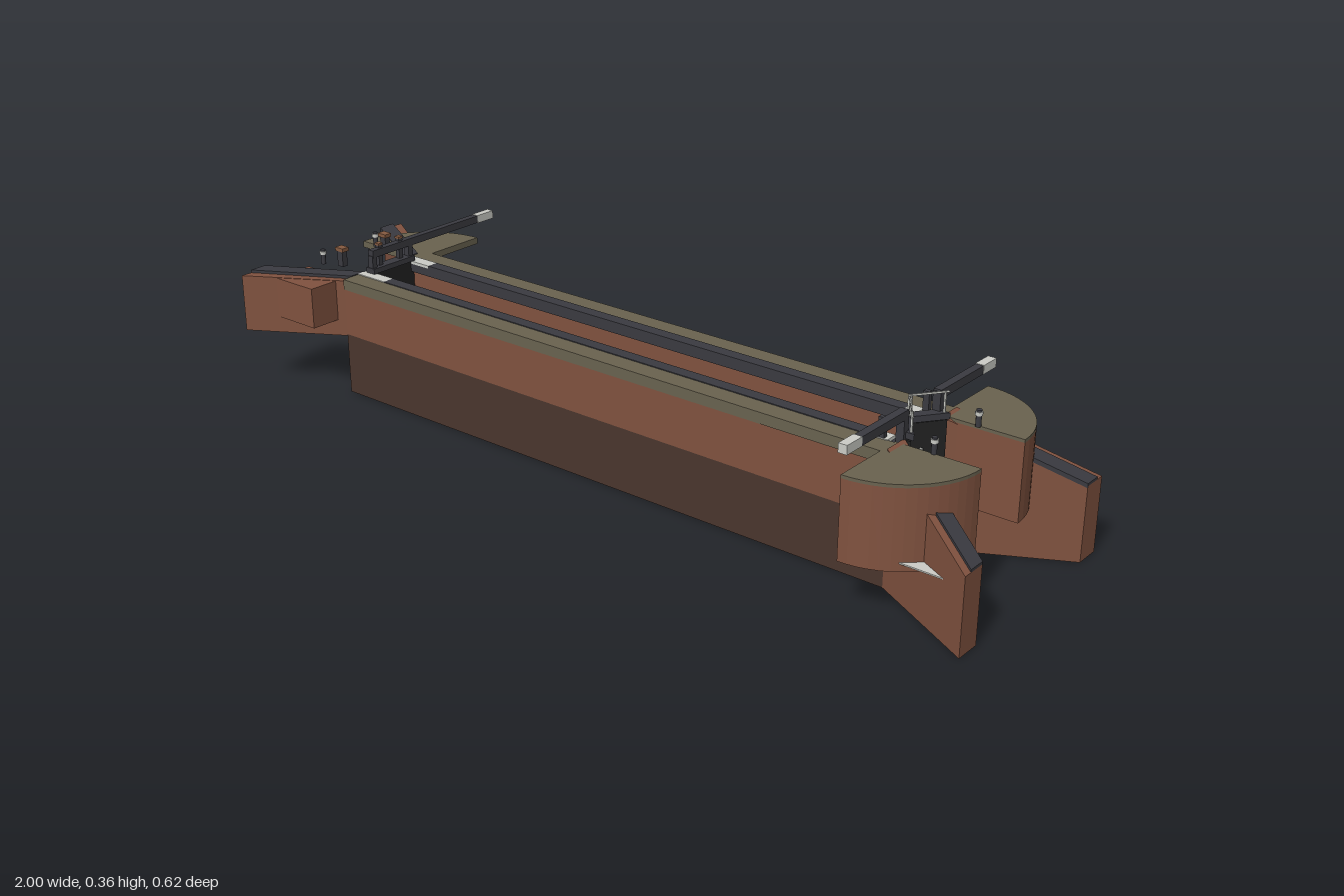
import * as THREE from 'three';

const C = 0.037; // z of the channel centre line

export function createModel() {
  const root = new THREE.Group();
  const mat = (name, color) => {
    const m = new THREE.MeshStandardMaterial({ color });
    m.name = name;
    return m;
  };
  const brick = mat('brick', 0x80523f);
  const wetBrick = mat('wet brick', 0x4a352d);
  const stone = mat('coping stone', 0x69624f);
  const iron = mat('dark edging', 0x3a3a40);
  const black = mat('gate black', 0x222222);
  const white = mat('pale paint', 0xcbccc6);
  const wood = mat('wood', 0x855a40);

  const add = (name, geometry, material) => {
    const mesh = new THREE.Mesh(geometry, material);
    mesh.name = name;
    root.add(mesh);
    return mesh;
  };

  // box given by its limits
  const box = (name, m, x0, x1, y0, y1, z0, z1) => {
    const mesh = add(name, new THREE.BoxGeometry(x1 - x0, y1 - y0, Math.abs(z1 - z0)), m);
    mesh.position.set((x0 + x1) / 2, (y0 + y1) / 2, (z0 + z1) / 2);
    return mesh;
  };

  // plan outline of [x, z] points raised from y0 to y1 (numbers or functions of x)
  const prism = (name, m, plan, y0, y1) => {
    const shape = new THREE.Shape(plan.map(([x, z]) => new THREE.Vector2(x, -z)));
    const g = new THREE.ExtrudeGeometry(shape, { depth: 1, bevelEnabled: false });
    g.rotateX(-Math.PI / 2);
    const p = g.attributes.position;
    const at = (f, x) => (typeof f === 'function' ? f(x) : f);
    for (let i = 0; i < p.count; i++) {
      p.setY(i, at(p.getY(i) > 0.5 ? y1 : y0, p.getX(i)));
    }
    g.computeVertexNormals();
    return add(name, g, m);
  };

  // quarter disc with its corner at x, z
  const quarter = (x, z, r, sx, sz) => {
    const pts = [[x, z]];
    for (let i = 0; i <= 14; i++) {
      const a = (i / 14) * Math.PI / 2;
      pts.push([x + sx * r * Math.cos(a), z + sz * r * Math.sin(a)]);
    }
    return pts;
  };

  const bollard = (x, z) => {
    const parts = [[0.006, 0.025, 0.302, iron], [0.008, 0.008, 0.318, white], [0.006, 0.004, 0.324, iron]];
    for (const [r, h, y, m] of parts) {
      add('bollard', new THREE.CylinderGeometry(r, r, h, 10), m).position.set(x, y, z);
    }
  };

  const slope = (x) => 0.17 + (1 - x) * 0.48;

  for (const s of [1, -1]) {
    const z = (d) => C + s * d;

    // chamber wall with coping
    box('lowerChamberWall', wetBrick, -0.78, 0.75, 0, 0.15, z(0.067), z(0.133));
    box('upperChamberWall', brick, -0.78, 0.75, 0.15, 0.265, z(0.067), z(0.133));
    box('wallCoping', stone, -0.78, 0.74, 0.265, 0.29, z(0.085), z(0.135));
    box('wallEdging', iron, -0.69, 0.66, 0.265, 0.292, z(0.058), z(0.088));
    box('wallEdgeEnd', white, -0.78, -0.69, 0.285, 0.292, z(0.058), z(0.088));
    box('wallEdgeEnd', white, 0.66, 0.715, 0.285, 0.292, z(0.058), z(0.088));
    box('wallEdgeBase', iron, -0.78, -0.69, 0.265, 0.285, z(0.058), z(0.088));
    box('wallEdgeBase', iron, 0.66, 0.74, 0.265, 0.285, z(0.058), z(0.088));

    // lower wing wall, sloping down and outwards
    prism('lowerWingWall', brick,
      [[0.74, z(0.067)], [1, z(0.206)], [1, z(0.267)], [0.74, z(0.128)]], 0, slope);
    prism('lowerWingCoping', iron,
      [[0.78, z(0.088)], [1, z(0.206)], [1, z(0.247)], [0.78, z(0.13)]],
      (x) => slope(x) - 0.004, (x) => slope(x) + 0.006);

    // upper wing wall, level
    prism('upperWingWall', brick,
      [[-0.78, z(0.067)], [-1, z(0.2)], [-1, z(0.262)], [-0.78, z(0.13)]], 0.145, 0.285);
    prism('upperWingCoping', iron,
      [[-0.78, z(0.067)], [-1, z(0.19)], [-1, z(0.234)], [-0.78, z(0.11)]], 0.275, 0.292);

    // rounded platform under the lower balance beam
    const plan = quarter(0.73, z(0.083), 0.188, 1, s);
    prism('beamPlatform', brick, plan, 0.11, 0.284);
    prism('beamPlatformTop', stone, plan, 0.284, 0.291);

    // mitre gate leaf and walkway
    const leaf = (x0, x1) => [[0.685 + x0, C], [0.735 + x0, z(0.067)], [0.735 + x1, z(0.067)], [0.685 + x1, C]];
    prism('lowerGateLeaf', black, leaf(0, 0.02), 0.012, 0.292);
    prism('lowerGateWalkway', iron, leaf(-0.003, 0.026), 0.295, 0.309);

    // handrail on the leaf
    prism('handrail', white, leaf(0.018, 0.021), 0.351, 0.355);
    for (const d of [0.004, 0.061]) {
      const x = 0.705 + d * 0.75;
      box('handrailPost', white, x - 0.002, x + 0.002, 0.295, 0.353, z(d - 0.002), z(d + 0.002));
    }

    // balance beam with a pale tip
    box('lowerBalanceBeam', iron, 0.724, 0.742, 0.335, 0.354, z(0.06), z(0.223));
    box('lowerBeamTip', white, 0.723, 0.743, 0.335, 0.355, z(0.223), z(0.274));
    box('lowerHeelPost', iron, 0.724, 0.742, 0.285, 0.35, z(0.058), z(0.074));
    box('paddleGear', iron, 0.692, 0.706, 0.292, 0.335, z(0.076), z(0.087));
    bollard(0.815, z(0.083));
    bollard(-0.905, z(0.086));

    // upper side post with a wooden cap
    box('sidePost', iron, -0.862, -0.844, 0.292, 0.33, z(0.063), z(0.078));
    box('sidePostCap', wood, -0.866, -0.84, 0.33, 0.339, z(0.06), z(0.08));

    // winding post on the upper gate
    box('windingPost', iron, -0.768, -0.756, 0.29, 0.355, z(0.027), z(0.039));
    box('windingPostCap', wood, -0.769, -0.755, 0.355, 0.36, z(0.026), z(0.04));
  }

  // upper gate on its sill
  box('upperSill', wetBrick, -0.77, -0.72, 0, 0.145, C - 0.067, C + 0.067);
  box('upperGate', black, -0.768, -0.75, 0.145, 0.292, C - 0.067, C + 0.067);
  box('upperGateWalkway', iron, -0.772, -0.745, 0.292, 0.305, C - 0.067, C + 0.067);
  box('upperBalanceBeam', iron, -0.767, -0.75, 0.331, 0.349, -0.256, 0.1);
  box('upperBeamTip', white, -0.768, -0.749, 0.33, 0.35, -0.311, -0.256);
  for (const d of [-0.06, 0.058]) {
    box('upperHeelPost', iron, -0.766, -0.751, 0.29, 0.335, C + d - 0.007, C + d + 0.007);
  }

  // thin paved area under the upper beam
  prism('upperPlatform', stone, quarter(-0.755, -0.055, 0.203, -1, -1), 0.274, 0.29);

  // side block on the front upper wing
  box('sideBlock', brick, -0.93, -0.8, 0.185, 0.284, 0.15, 0.255);

  // water leaking from the lower gate, with foam below
  for (const [z, top] of [[0.08, 0.203], [0.05, 0.24], [0.016, 0.238], [-0.012, 0.198]]) {
    const x = 0.708 + Math.abs(z - C) * 0.75;
    box('leak', white, x, x + 0.006, 0.128, top, z - 0.003, z + 0.003);
  }
  box('foam', white, 0.73, 0.8, 0.127, 0.13, -0.028, 0.1);
  box('sideFoam', white, 0.84, 0.94, 0.127, 0.13, 0.19, 0.27);

  return root;
}
